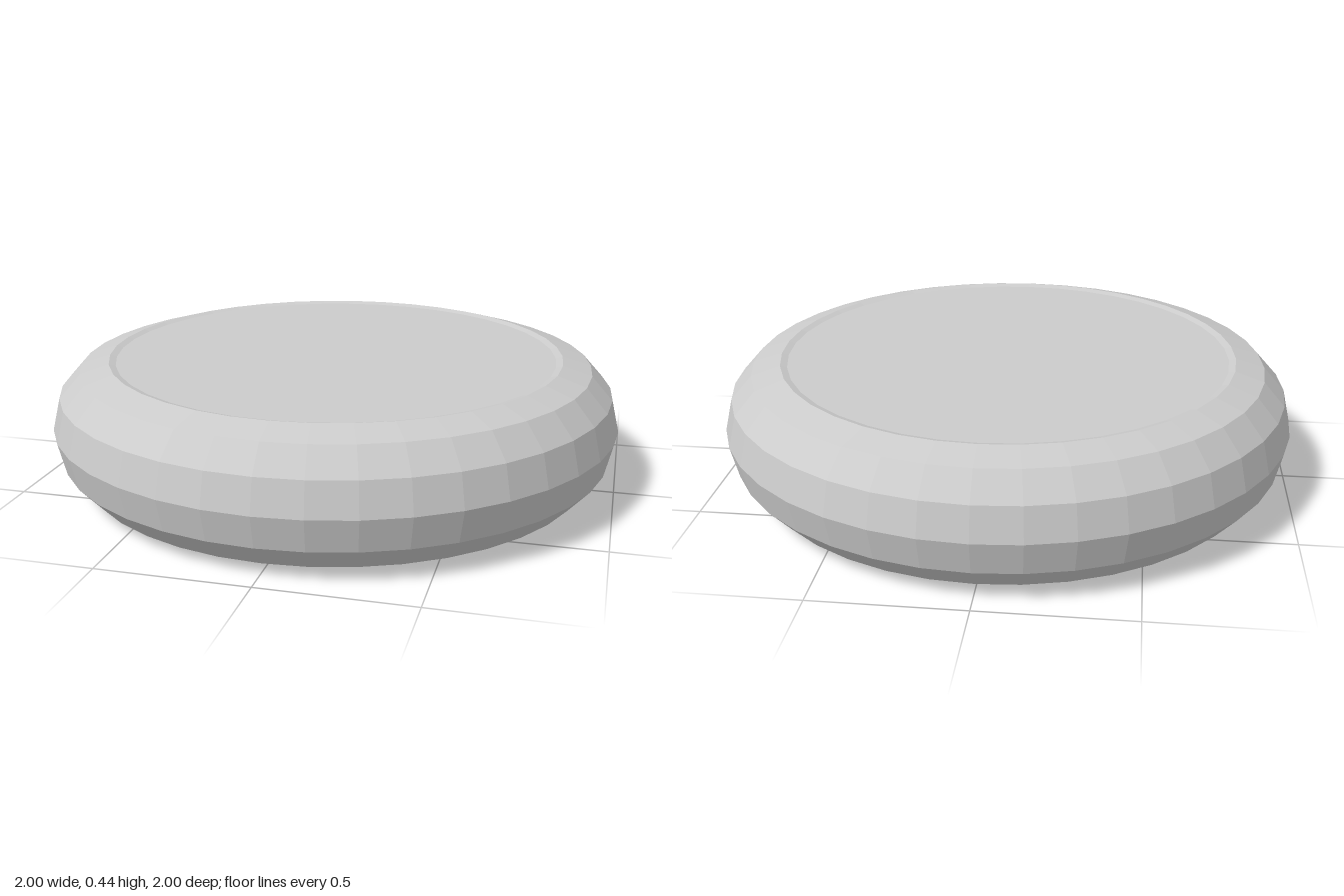
import * as THREE from 'three';

const SEGMENTS = 40;
const HEIGHT = 0.445;

export function createModel() {
  const group = new THREE.Group();
  group.name = 'roundCushion';
  const material = new THREE.MeshStandardMaterial({ color: 0xcccccc, flatShading: true });

  const add = (name, geometry) => {
    const mesh = new THREE.Mesh(geometry, material);
    mesh.name = name;
    mesh.position.y = HEIGHT / 2;
    group.add(mesh);
  };

  // Faceted outer ring, a little taller than it is wide in section
  const ring = new THREE.TorusGeometry(0.8, 0.2, 12, SEGMENTS);
  ring.rotateX(-Math.PI / 2);
  ring.scale(1, HEIGHT / 0.4, 1);
  add('outerRing', ring);

  // Solid disc filling the ring, slightly recessed above and below
  const disc = new THREE.CylinderGeometry(0.82, 0.82, HEIGHT - 0.014, SEGMENTS);
  disc.rotateY(Math.PI / 2);
  add('centreDisc', disc);

  return group;
}
